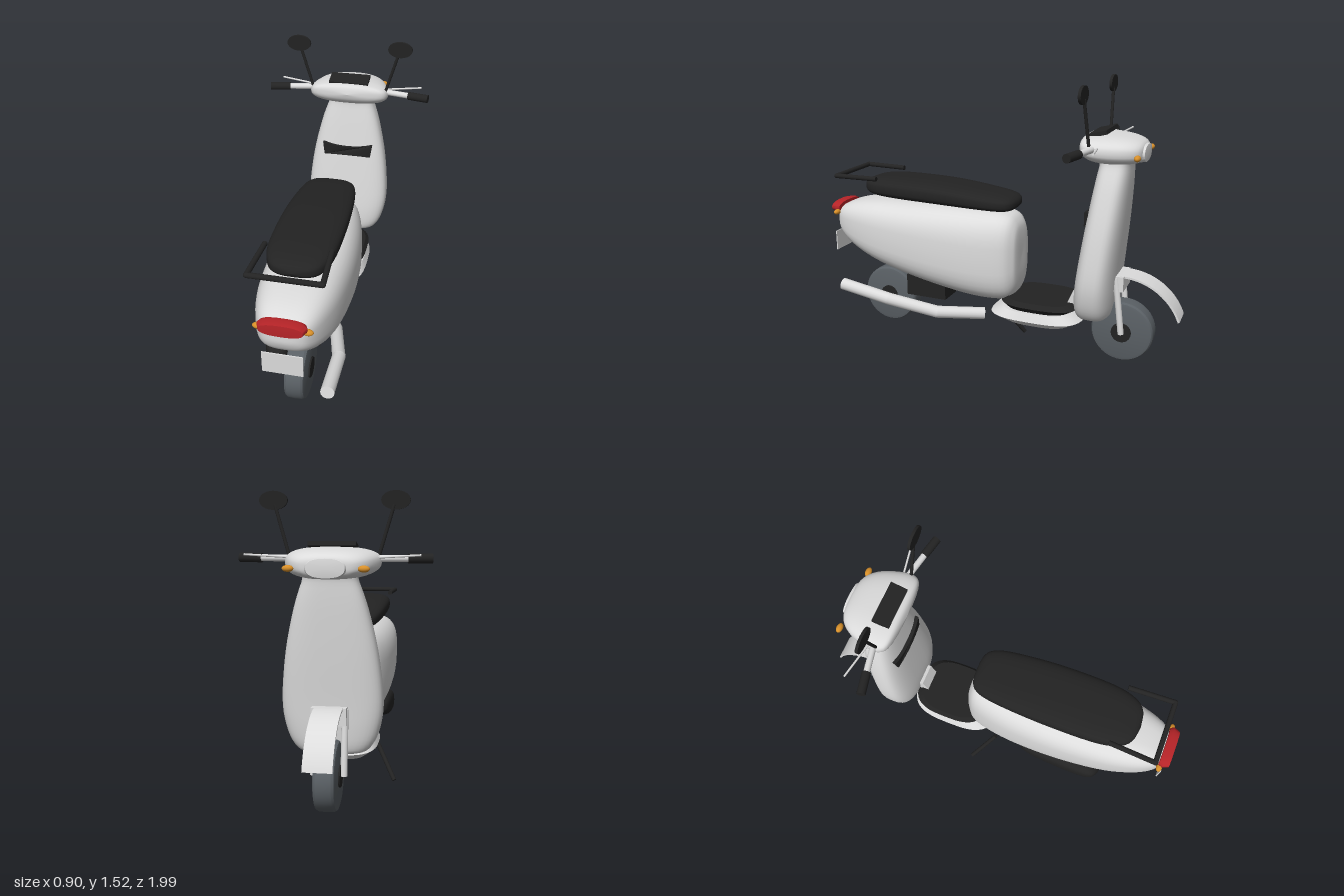
import * as THREE from 'three';
import { toCreasedNormals } from 'three/addons/utils/BufferGeometryUtils.js';

const paint = (name, color, extra = {}) => Object.assign(new THREE.MeshStandardMaterial({ color, ...extra }), { name });

export function createModel() {
  const model = new THREE.Group();
  model.name = 'scooter';
  const white = paint('bodyWhite', 0xdcdcdc);
  const black = paint('trimBlack', 0x232323);
  const rubber = paint('tyreGrey', 0x5a6065);
  const red = paint('lampRed', 0xb82428);
  const amber = paint('lampAmber', 0xd8902a);

  function add(name, geo, mat, x = 0, y = 0, z = 0) {
    const m = new THREE.Mesh(geo, mat);
    m.name = name;
    m.position.set(x, y, z);
    model.add(m);
    return m;
  }

  // Lofted solid: sections [t, low, high, halfWidth], superellipse rings of power n.
  // The axis is z, or y when upright (low and high are then distances towards -z).
  function loft(sections, { n = 3, steps = 4, upright = false, crease = 0, seg = 40 } = {}) {
    const rows = [];
    const last = sections.length - 1;
    const at = i => sections[Math.min(last, Math.max(0, i))];
    for (let i = 0; i < last; i++) {
      for (let s = 0; s < steps; s++) {
        const t = s / steps;
        rows.push(at(i).map((b, k) => {
          const a = at(i - 1)[k], c = at(i + 1)[k], d = at(i + 2)[k];
          return b + 0.5 * t * (c - a + t * (2 * a - 5 * b + 4 * c - d + t * (3 * (b - c) + d - a)));
        }));
      }
    }
    rows.push(sections[last]);
    const pos = [], idx = [];
    const power = v => Math.sign(v) * Math.pow(Math.abs(v), 2 / n);
    rows.forEach(([t, lo, hi, w], i) => {
      for (let j = 0; j < seg; j++) {
        const a = (j / seg) * Math.PI * 2;
        pos.push(Math.max(w, 0) * power(Math.cos(a)), (lo + hi) / 2 + (hi - lo) / 2 * power(Math.sin(a)), t);
        if (i === rows.length - 1) continue;
        const p = i * seg + j, q = i * seg + (j + 1) % seg;
        idx.push(p, q, p + seg, q, q + seg, p + seg);
      }
    });
    const g = new THREE.BufferGeometry();
    g.setAttribute('position', new THREE.Float32BufferAttribute(pos, 3));
    g.setIndex(idx);
    if (upright) g.rotateX(-Math.PI / 2);
    g.computeVertexNormals();
    return crease ? toCreasedNormals(g, crease) : g;
  }

  // Straight rod segments through a list of points
  function rod(name, mat, r, ...pts) {
    const v = pts.map(p => new THREE.Vector3(...p));
    for (let i = 0; i + 1 < v.length; i++) {
      const dir = v[i + 1].clone().sub(v[i]);
      const m = add(name, new THREE.CylinderGeometry(r, r, dir.length(), 16), mat);
      m.position.copy(v[i]).addScaledVector(dir, 0.5);
      m.quaternion.setFromUnitVectors(new THREE.Vector3(0, 1, 0), dir.normalize());
      if (i) add(name + 'Joint', new THREE.SphereGeometry(r, 16, 10), mat, ...pts[i]);
    }
  }

  // Rear body shell
  add('rearBody', loft([
    [-0.13, 0.58, 0.58, 0], [-0.13, 0.47, 0.7, 0.08], [-0.115, 0.385, 0.77, 0.12], [-0.06, 0.337, 0.813, 0.165],
    [0.1, 0.337, 0.827, 0.2], [0.3, 0.368, 0.832, 0.215], [0.5, 0.41, 0.828, 0.213], [0.7, 0.465, 0.82, 0.195],
    [0.85, 0.53, 0.798, 0.158], [0.94, 0.595, 0.765, 0.112], [0.972, 0.65, 0.73, 0.06], [0.976, 0.69, 0.69, 0],
  ]), white);

  // Seat cushion
  add('seat', loft([
    [-0.108, 0.86, 0.86, 0], [-0.1, 0.84, 0.885, 0.075], [-0.06, 0.828, 0.905, 0.122], [0.05, 0.828, 0.922, 0.148],
    [0.3, 0.835, 0.948, 0.165], [0.58, 0.842, 0.955, 0.162], [0.71, 0.85, 0.948, 0.135],
    [0.77, 0.872, 0.93, 0.085], [0.787, 0.9, 0.9, 0],
  ]), black);

  // Leg shield
  add('legShield', loft([
    [0.32, 0.555, 0.555, 0], [0.325, 0.49, 0.62, 0.13], [0.36, 0.46, 0.643, 0.185], [0.45, 0.457, 0.655, 0.222],
    [0.58, 0.47, 0.665, 0.235], [0.8, 0.5, 0.685, 0.212], [1.0, 0.53, 0.7, 0.168],
    [1.12, 0.55, 0.705, 0.128], [1.16, 0.555, 0.705, 0.11], [1.16, 0.63, 0.63, 0],
  ], { upright: true }), white);

  // Handlebar housing, headlamp and dash panel
  add('handlebarHousing', loft([
    [-0.77, 1.19, 1.19, 0], [-0.76, 1.15, 1.235, 0.11], [-0.7, 1.135, 1.26, 0.175], [-0.6, 1.133, 1.272, 0.212],
    [-0.525, 1.147, 1.272, 0.218], [-0.48, 1.18, 1.262, 0.17], [-0.465, 1.22, 1.22, 0],
  ], { n: 2.6 }), white);
  add('headlamp', loft([
    [-0.782, 1.187, 1.187, 0], [-0.775, 1.145, 1.228, 0.085], [-0.745, 1.14, 1.235, 0.1], [-0.7, 1.15, 1.22, 0.09],
  ], { n: 2.4, steps: 1, crease: 0.7 }), white);
  add('dashPanel', new THREE.BoxGeometry(0.22, 0.02, 0.09), black, 0, 1.277, -0.55).rotation.x = 0.25;

  // Bag hook strip, bowed to follow the shield
  const strip = new THREE.Shape();
  strip.moveTo(-0.145, 0.04);
  strip.quadraticCurveTo(0, 0.008, 0.145, 0.04);
  strip.lineTo(0.135, -0.035);
  strip.quadraticCurveTo(0, -0.02, -0.135, -0.035);
  const stripGeo = new THREE.ExtrudeGeometry(strip, { depth: 0.02, bevelEnabled: false, curveSegments: 16 });
  const sp = stripGeo.attributes.position;
  for (let i = 0; i < sp.count; i++) sp.setZ(i, sp.getZ(i) - 0.6 * sp.getX(i) ** 2);
  stripGeo.computeVertexNormals();
  add('bagHook', stripGeo, black, 0, 0.855, -0.513);

  // Footboard, mat and the small bracket at the shield's foot
  add('footboard', loft([
    [0.235, 0.23, 0.23, 0], [0.235, 0.06, 0.42, 0.13], [0.277, -0.02, 0.49, 0.182],
    [0.318, 0.05, 0.43, 0.165], [0.32, 0.23, 0.23, 0],
  ], { upright: true, steps: 1, crease: 0.5 }), white);
  add('floorMat', loft([
    [0.318, 0.25, 0.25, 0], [0.32, 0.07, 0.43, 0.15], [0.348, 0.04, 0.475, 0.172],
    [0.372, 0.07, 0.44, 0.155], [0.375, 0.25, 0.25, 0],
  ], { upright: true, steps: 1, crease: 0.5 }), black);
  add('footBracket', new THREE.BoxGeometry(0.12, 0.08, 0.05), white, 0, 0.395, -0.445).rotation.x = -0.4;

  // Wheels with hubs
  const tyre = new THREE.LatheGeometry([[0, -0.05], [0.14, -0.05], [0.154, -0.046], [0.161, -0.035], [0.163, 0],
    [0.161, 0.035], [0.154, 0.046], [0.14, 0.05], [0, 0.05]].map(p => new THREE.Vector2(...p)), 48);
  const wheelGeo = toCreasedNormals(tyre.rotateZ(Math.PI / 2), 0.5);
  const hubGeo = new THREE.CylinderGeometry(0.052, 0.052, 0.116, 24).rotateZ(Math.PI / 2);
  for (const [end, z] of [['front', -0.697], ['rear', 0.67]]) {
    add(end + 'Wheel', wheelGeo, rubber, 0, 0.248, z);
    add(end + 'Hub', hubGeo, black, 0, 0.248, z);
  }

  // Front fork and mudguard, concentric with the wheel
  add('forkCrown', new THREE.BoxGeometry(0.16, 0.08, 0.07), white, 0, 0.52, -0.668);
  const arc = new THREE.Shape();
  arc.absarc(0, 0, 0.313, 0.36, 1.65, false);
  arc.absarc(0, 0, 0.303, 1.65, 0.36, true);
  const guard = new THREE.ExtrudeGeometry(arc, { depth: 0.13, bevelEnabled: false, curveSegments: 24 });
  add('frontMudguard', toCreasedNormals(guard.rotateY(Math.PI / 2), 0.5), white, -0.065, 0.248, -0.697);

  // Engine, drive cover, exhaust and side stand
  add('engineBlock', new THREE.BoxGeometry(0.14, 0.12, 0.24), black, 0, 0.335, 0.42);
  add('driveCover', loft([
    [0.21, 0.34, 0.34, 0], [0.22, 0.31, 0.375, 0.045], [0.29, 0.28, 0.392, 0.064], [0.42, 0.25, 0.392, 0.068],
    [0.58, 0.238, 0.37, 0.066], [0.66, 0.25, 0.34, 0.05], [0.69, 0.29, 0.29, 0],
  ]), black, -0.128);
  rod('exhaust', white, 0.034, [0.183, 0.325, 0.895], [0.178, 0.277, 0.6], [0.11, 0.215, 0.33], [-0.02, 0.192, 0.1]);
  rod('sideStand', black, 0.012, [-0.135, 0.21, 0.05], [-0.248, 0.012, -0.06]);

  // Rear rack, tail lamp and plate
  rod('rearRack', black, 0.013, [-0.155, 0.957, 0.66], [-0.167, 0.957, 0.905], [0.167, 0.957, 0.905], [0.155, 0.957, 0.66]);
  add('tailLamp', loft([
    [0.945, 0.75, 0.75, 0], [0.945, 0.72, 0.78, 0.105], [0.965, 0.716, 0.785, 0.114],
    [0.998, 0.72, 0.78, 0.1], [1.0, 0.75, 0.75, 0],
  ], { n: 2.5, steps: 1, crease: 0.6 }), red);
  add('rearPlate', new THREE.BoxGeometry(0.19, 0.112, 0.006), white, 0, 0.55, 0.983);

  // Mirrored parts
  const blinker = new THREE.SphereGeometry(1, 20, 12).scale(0.026, 0.015, 0.016);
  const mirrorGeo = new THREE.CylinderGeometry(1, 1, 1, 32).rotateX(Math.PI / 2).scale(0.066, 0.043, 0.014);
  for (const [side, s] of [['left', 1], ['right', -1]]) {
    rod(side + 'Bar', white, 0.016, [s * 0.16, 1.22, -0.56], [s * 0.35, 1.22, -0.522]);
    rod(side + 'Grip', black, 0.022, [s * 0.337, 1.22, -0.525], [s * 0.447, 1.22, -0.502]);
    rod(side + 'Lever', white, 0.005, [s * 0.19, 1.225, -0.573], [s * 0.4, 1.238, -0.608]);
    rod(side + 'MirrorStalk', black, 0.008, [s * 0.208, 1.235, -0.535], [s * 0.273, 1.46, -0.524]);
    add(side + 'Mirror', mirrorGeo, black, s * 0.28, 1.48, -0.522);
    add(side + 'FrontBlinker', blinker, amber, s * 0.165, 1.185, -0.757);
    add(side + 'RearBlinker', blinker, amber, s * 0.112, 0.73, 0.955);
    rod(side + 'ForkLeg', white, 0.016, [s * 0.07, 0.55, -0.662], [s * 0.07, 0.248, -0.7]);
  }
  return model;
}
